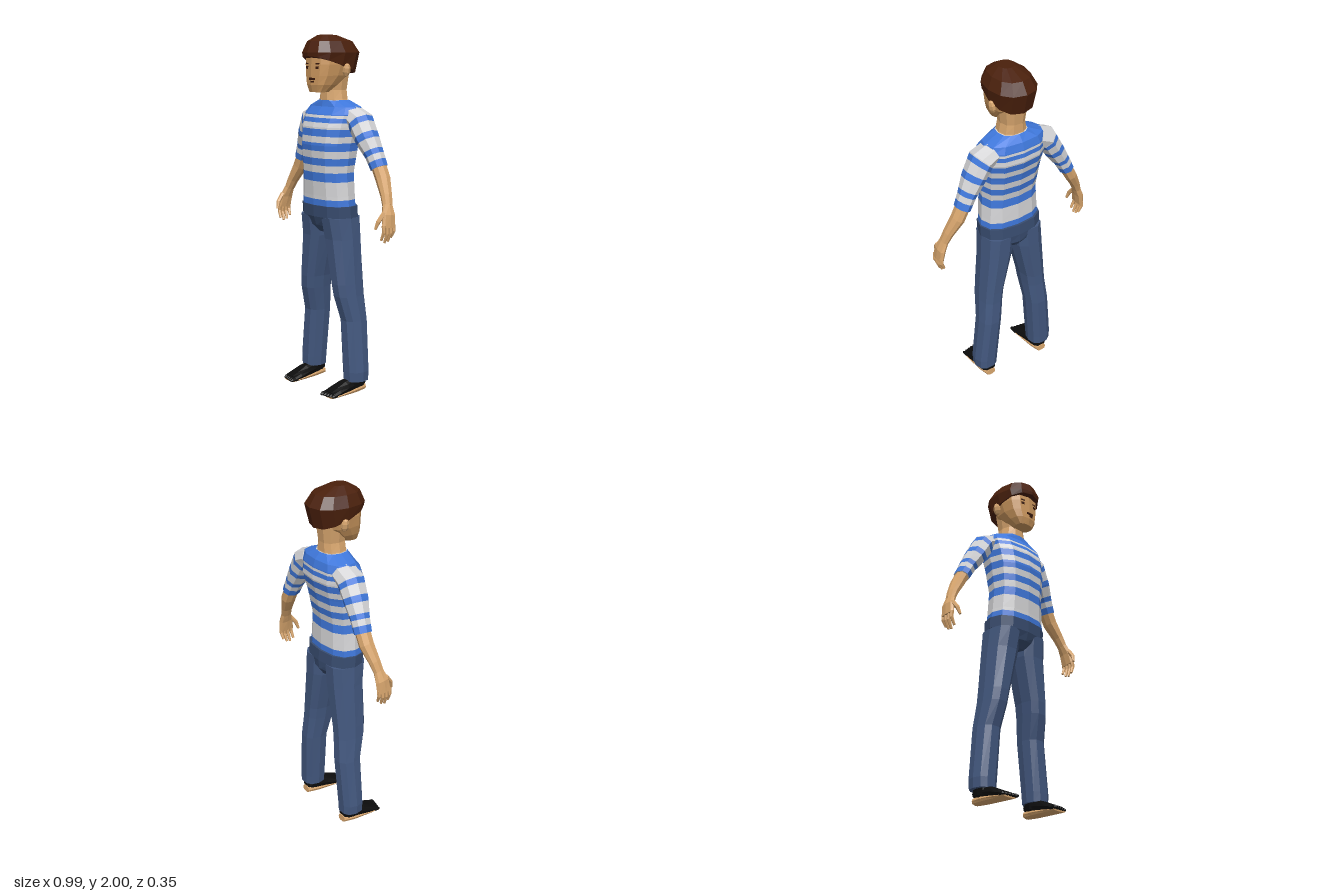
import * as THREE from 'three';

const mat = (name, color) => {
  const m = new THREE.MeshStandardMaterial({ color, flatShading: true });
  m.name = name;
  return m;
};
const skin = mat('skin', 0xd8a66e), faceSkin = mat('face skin', 0xcf9a60), hairBrown = mat('hair brown', 0x4a200c);
const blue = mat('shirt blue', 0x3f78dc), white = mat('shirt white', 0xd6d6d8);
const denim = mat('denim', 0x43587f), darkDenim = mat('dark denim', 0x394d70);
const black = mat('sock black', 0x0d0d0d), dark = mat('face marking', 0x3a1a0c);

const UP = new THREE.Vector3(0, 1, 0), FRONT = new THREE.Vector3(0, 0, 1);

// Skins a row of rounded cross-sections [x, y, z, halfWidth, halfDepth].
// flat keeps sections horizontal; bands are y ranges that get the second material.
function loft(name, keys, { n = 10, p = 0.8, flat = false, ref = FRONT, mats, bands = [] }) {
  const centres = keys.map(k => new THREE.Vector3(k[0], k[1], k[2]));
  let rings = keys.map((k, i) => {
    const t = flat ? UP.clone()
      : centres[Math.min(i + 1, keys.length - 1)].clone().sub(centres[Math.max(i - 1, 0)]).normalize();
    const side = t.clone().cross(ref).normalize(), depth = side.clone().cross(t);
    const pts = [];
    for (let j = 0; j < n; j++) {
      const a = j / n * Math.PI * 2, pw = v => Math.abs(v) < 1e-6 ? 0 : Math.sign(v) * Math.abs(v) ** p;
      pts.push(centres[i].clone().addScaledVector(side, k[3] * pw(Math.cos(a)))
        .addScaledVector(depth, k[4] * pw(Math.sin(a))));
    }
    return { y: k[1], pts };
  });
  // extra rings where a stripe begins or ends
  for (const y of bands.flat()) {
    const i = rings.findIndex((r, k) => k + 1 < rings.length && (r.y - y) * (rings[k + 1].y - y) < 0);
    if (i < 0) continue;
    const a = rings[i], b = rings[i + 1], f = (y - a.y) / (b.y - a.y);
    rings.splice(i + 1, 0, { y, pts: a.pts.map((v, j) => v.clone().lerp(b.pts[j], f)) });
  }
  const pos = [], geo = new THREE.BufferGeometry();
  const tri = (...v) => v.forEach(q => pos.push(q.x, q.y, q.z));
  const cap = (ring, first) => {
    const c = ring.pts.reduce((s, v) => s.add(v), new THREE.Vector3()).divideScalar(n);
    ring.pts.forEach((v, j) => {
      const w = ring.pts[(j + 1) % n];
      first ? tri(c, v, w) : tri(c, w, v);
    });
  };
  cap(rings[0], true);
  geo.addGroup(0, n * 3, 0);
  for (let i = 0; i + 1 < rings.length; i++) {
    const start = pos.length / 3, A = rings[i].pts, B = rings[i + 1].pts;
    const mid = (rings[i].y + rings[i + 1].y) / 2;
    for (let j = 0; j < n; j++) {
      const k = (j + 1) % n;
      tri(A[j], B[j], A[k]);
      tri(A[k], B[j], B[k]);
    }
    geo.addGroup(start, n * 6, bands.some(b => mid > b[0] && mid < b[1]) ? 1 : 0);
  }
  const start = pos.length / 3;
  cap(rings[rings.length - 1], false);
  geo.addGroup(start, n * 3, 0);
  geo.setAttribute('position', new THREE.Float32BufferAttribute(pos, 3));
  geo.computeVertexNormals();
  if (mats.length === 1) geo.clearGroups();
  const mesh = new THREE.Mesh(geo, mats.length === 1 ? mats[0] : mats);
  mesh.name = name;
  return mesh;
}

function createHead() {
  const head = new THREE.Group();
  head.name = 'head';
  head.add(loft('neck', [[0, 1.6, -0.03, 0.095, 0.075], [0, 1.65, -0.027, 0.078, 0.072], [0, 1.7, -0.028, 0.068, 0.07],
    [0, 1.83, -0.03, 0.085, 0.085]], { flat: true, mats: [skin] }));
  head.add(loft('face', [[0, 1.69, 0.075, 0.055, 0.045], [0, 1.73, 0.05, 0.08, 0.08], [0, 1.78, 0.02, 0.1, 0.11],
    [0, 1.84, 0.01, 0.112, 0.118], [0, 1.91, 0, 0.113, 0.125]], { n: 12, p: 0.75, flat: true, mats: [faceSkin] }));

  // hair cap, its lower edge sloping down to the nape
  const hair = loft('hair', [[0, 1.835, 0.005, 0.12, 0.148], [0, 1.905, -0.008, 0.13, 0.163],
    [0, 1.965, 0, 0.1, 0.13], [0, 2, 0.02, 0.045, 0.05]], { n: 12, p: 0.85, flat: true, mats: [hairBrown] });
  const hp = hair.geometry.attributes.position;
  for (let i = 0; i < hp.count; i++) {
    const y = hp.getY(i);
    hp.setY(i, y + 0.33 * hp.getZ(i) * Math.max(0, (1.905 - y) / 0.07));
  }
  hair.geometry.computeVertexNormals();
  head.add(hair);

  const plate = (name, w, h, x, y, z, yaw) => {
    const m = new THREE.Mesh(new THREE.BoxGeometry(w, h, 0.008), dark);
    m.name = name;
    m.position.set(x, y, z);
    m.rotation.y = yaw;
    head.add(m);
  };
  for (const s of [1, -1]) {
    plate('eyebrow', 0.026, 0.007, s * 0.045, 1.845, 0.118, s * 0.18);
    plate('eye', 0.02, 0.014, s * 0.045, 1.823, 0.119, s * 0.18);
    const ear = new THREE.Mesh(new THREE.SphereGeometry(1, 6, 5), skin);
    ear.name = 'ear';
    ear.scale.set(0.018, 0.038, 0.024);
    ear.position.set(s * 0.118, 1.81, -0.025);
    ear.rotation.z = -s * 0.2;
    head.add(ear);
  }
  plate('moustache', 0.045, 0.013, 0.005, 1.762, 0.128, 0);
  plate('mouth', 0.025, 0.01, 0.01, 1.747, 0.128, 0);
  return head;
}

function createArm(s) {
  const arm = new THREE.Group();
  arm.name = s > 0 ? 'leftArm' : 'rightArm';
  const add = (name, keys, opt) => arm.add(loft(name, keys.map(k => [s * k[0], ...k.slice(1)]), opt));
  add('sleeve', [[0.14, 1.565, -0.05, 0.055, 0.075], [0.205, 1.535, -0.05, 0.064, 0.08], [0.262, 1.44, -0.055, 0.057, 0.072],
    [0.31, 1.36, -0.065, 0.046, 0.056], [0.345, 1.29, -0.07, 0.041, 0.052]],
    { n: 8, p: 0.9, mats: [white, blue], bands: [[1.29, 1.325], [1.355, 1.38], [1.43, 1.46], [1.505, 1.53]] });
  add('forearm', [[0.33, 1.32, -0.07, 0.034, 0.044], [0.375, 1.235, -0.07, 0.034, 0.042],
    [0.425, 1.15, -0.052, 0.025, 0.033], [0.447, 1.1, -0.042, 0.021, 0.03]], { n: 8, mats: [skin] });
  add('palm', [[0.445, 1.105, -0.042, 0.02, 0.029], [0.468, 1.05, -0.033, 0.021, 0.042], [0.478, 0.985, -0.025, 0.016, 0.046]],
    { n: 8, mats: [skin] });
  [-0.059, -0.036, -0.013, 0.01].forEach((z, i) => {
    const len = [0.065, 0.085, 0.09, 0.075][i];
    add('finger', [[0.478, 1, z, 0.012, 0.011], [0.48, 1 - len * 0.5, z, 0.011, 0.01], [0.462, 0.995 - len, z + 0.004, 0.007, 0.007]],
      { n: 6, p: 1, mats: [skin] });
  });
  add('thumb', [[0.465, 1.065, -0.005, 0.014, 0.014], [0.458, 1.02, 0.032, 0.012, 0.012], [0.45, 0.98, 0.045, 0.007, 0.007]],
    { n: 6, p: 1, mats: [skin] });
  return arm;
}

function createLeg(s) {
  const leg = new THREE.Group();
  leg.name = s > 0 ? 'leftLeg' : 'rightLeg';
  const add = (name, keys, opt) => leg.add(loft(name, keys.map(k => [s * k[0], ...k.slice(1)]), opt));
  add('trouserLeg', [[0.196, 0.075, -0.035, 0.066, 0.067], [0.195, 0.13, -0.035, 0.07, 0.069], [0.168, 0.42, -0.04, 0.067, 0.075],
    [0.151, 0.56, -0.018, 0.068, 0.09], [0.143, 0.63, -0.014, 0.07, 0.094], [0.102, 0.88, -0.012, 0.091, 0.102],
    [0.092, 1, -0.004, 0.092, 0.112]], { flat: true, mats: [denim] });
  add('sockAnkle', [[0.19, 0.04, -0.03, 0.046, 0.055], [0.193, 0.11, -0.033, 0.054, 0.058]], { flat: true, mats: [black] });
  // foot runs from heel to toes
  add('sockFoot', [[0.188, 0.06, -0.085, 0.034, 0.022], [0.188, 0.055, -0.02, 0.043, 0.04], [0.187, 0.045, 0.04, 0.047, 0.034],
    [0.185, 0.03, 0.1, 0.052, 0.022], [0.185, 0.02, 0.145, 0.051, 0.013]], { ref: UP, mats: [black] });
  add('sole', [[0.188, 0.025, -0.092, 0.03, 0.02], [0.188, 0.022, -0.02, 0.042, 0.022], [0.186, 0.013, 0.09, 0.046, 0.013],
    [0.185, 0.006, 0.155, 0.045, 0.006]], { ref: UP, mats: [skin] });
  for (let i = 0; i < 5; i++) {
    const x = 0.145 + i * 0.02, tip = 0.175 - i * 0.004;
    add('toe', [[x, 0.019, 0.125, 0.011, 0.012], [x, 0.017, tip - 0.012, 0.011, 0.011], [x, 0.013, tip, 0.006, 0.006]],
      { n: 6, p: 1, ref: UP, mats: [black] });
  }
  return leg;
}

export function createModel() {
  const model = new THREE.Group();
  model.name = 'standingMan';
  model.add(createHead());
  model.add(loft('shirt', [[0, 1.05, 0.005, 0.18, 0.108], [0, 1.12, 0.006, 0.174, 0.108], [0, 1.25, 0.01, 0.166, 0.11],
    [0, 1.4, 0, 0.18, 0.13], [0, 1.5, -0.018, 0.193, 0.136], [0, 1.57, -0.03, 0.198, 0.118],
    [0, 1.61, -0.04, 0.178, 0.096], [0, 1.645, -0.028, 0.085, 0.076]],
    { n: 12, p: 0.8, flat: true, mats: [white, blue],
      bands: [[1.05, 1.1], [1.2, 1.25], [1.29, 1.33], [1.37, 1.415], [1.45, 1.49], [1.525, 1.55], [1.565, 1.65]] }));
  model.add(loft('trouserSeat', [[0, 0.91, -0.012, 0.045, 0.075], [0, 0.95, -0.01, 0.11, 0.106], [0, 1, -0.003, 0.186, 0.116],
    [0, 1.065, 0.001, 0.187, 0.116]], { n: 12, p: 0.8, flat: true, mats: [darkDenim] }));
  for (const s of [1, -1]) model.add(createArm(s), createLeg(s));
  return model;
}
